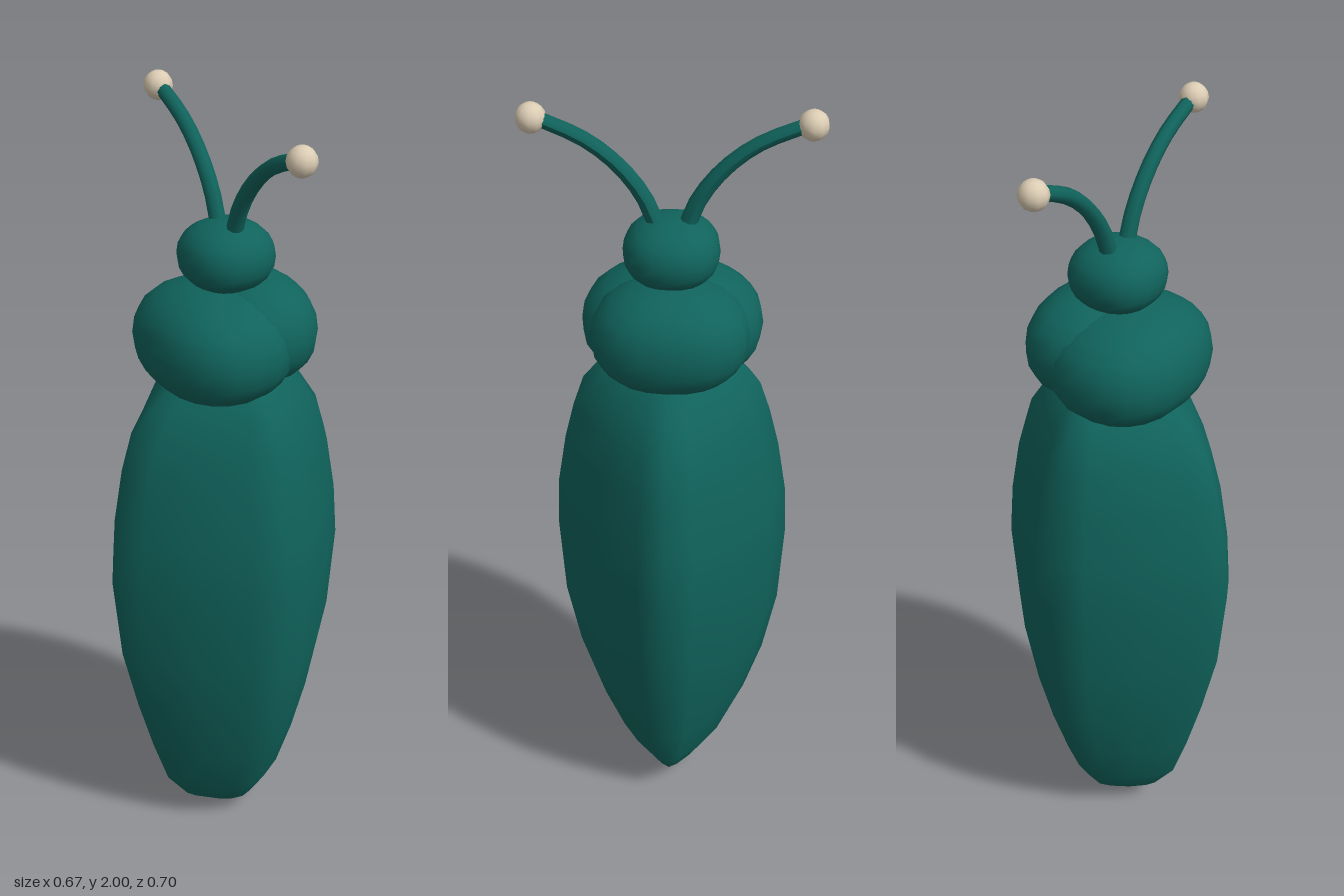
import * as THREE from 'three';

const shellMat = new THREE.MeshStandardMaterial({ color: 0x10635c });
shellMat.name = 'deepTeal';
const tipMat = new THREE.MeshStandardMaterial({ color: 0xdccdb4 });
tipMat.name = 'cream';

const spow = (v, e) => Math.sign(v) * Math.pow(Math.abs(v), e);

// Closed smooth loft through superelliptic rings [y, halfX, halfZ], with pole points at both ends
function loft(rings, yBottom, yTop, exponent, sides = 16) {
  const pos = [0, yBottom, 0], index = [];
  for (const [y, hx, hz] of rings) {
    for (let i = 0; i < sides; i++) {
      const a = (i / sides) * Math.PI * 2;
      pos.push(hx * spow(Math.cos(a), exponent), y, hz * spow(Math.sin(a), exponent));
    }
  }
  const top = pos.length / 3;
  pos.push(0, yTop, 0);
  const last = rings.length - 1;
  for (let i = 0; i < sides; i++) {
    const j = (i + 1) % sides;
    index.push(0, 1 + i, 1 + j);
    for (let r = 0; r < last; r++) {
      const a = 1 + r * sides + i, b = 1 + r * sides + j;
      index.push(a, a + sides, b, b, a + sides, b + sides);
    }
    index.push(1 + last * sides + i, top, 1 + last * sides + j);
  }
  const geo = new THREE.BufferGeometry();
  geo.setAttribute('position', new THREE.Float32BufferAttribute(pos, 3));
  geo.setIndex(index);
  geo.computeVertexNormals();
  return geo;
}

// Rounded lobe: slightly boxy ellipsoid
function lobe(rx, ry, rz, e = 0.9) {
  const rings = [];
  for (let k = 1; k < 12; k++) {
    const t = -Math.PI / 2 + (k / 12) * Math.PI;
    const c = Math.pow(Math.cos(t), e);
    rings.push([ry * spow(Math.sin(t), e), rx * c, rz * c]);
  }
  return loft(rings, -ry, ry, e, 20);
}

// Round tube with the cross-section narrowing a little along its length
function taperedTube(curve, segments, radius, endScale, sides) {
  const geo = new THREE.TubeGeometry(curve, segments, radius, sides);
  const p = geo.attributes.position, v = new THREE.Vector3();
  for (let i = 0; i < p.count; i++) {
    const t = Math.floor(i / (sides + 1)) / segments;
    const c = curve.getPointAt(t);
    v.fromBufferAttribute(p, i).sub(c).multiplyScalar(1 + (endScale - 1) * t).add(c);
    p.setXYZ(i, v.x, v.y, v.z);
  }
  geo.computeVertexNormals();
  return geo;
}

export function createModel() {
  const group = new THREE.Group();
  const add = (name, geo, mat, x = 0, y = 0, z = 0) => {
    const mesh = new THREE.Mesh(geo, mat);
    mesh.name = name;
    mesh.position.set(x, y, z);
    group.add(mesh);
    return mesh;
  };

  // Long abdomen with a diamond-shaped section
  add('abdomen', loft([
    [0.02, 0.06, 0.045], [0.06, 0.125, 0.09], [0.14, 0.185, 0.145],
    [0.27, 0.228, 0.2], [0.42, 0.27, 0.247], [0.6, 0.312, 0.282],
    [0.82, 0.333, 0.295], [0.96, 0.322, 0.29], [1.1, 0.297, 0.268],
    [1.2, 0.267, 0.244], [1.28, 0.215, 0.218], [1.34, 0.15, 0.17], [1.38, 0.08, 0.09],
  ], 0, 1.39, 1.5), shellMat);

  // Two overlapping thorax lobes
  add('thoraxRight', lobe(0.178, 0.142, 0.22), shellMat, -0.038, 1.43, 0);
  add('thoraxLeft', lobe(0.15, 0.135, 0.19), shellMat, 0.065, 1.45, 0);

  // Head
  add('head', lobe(0.115, 0.085, 0.115), shellMat, 0, 1.642, 0);

  // Antennae, one to the front and one to the back, with bead tips
  for (const s of [1, -1]) {
    const side = s > 0 ? 'front' : 'back';
    const path = new THREE.CatmullRomCurve3([
      [0.03, 1.69], [0.065, 1.78], [0.125, 1.86], [0.2, 1.92], [0.315, 1.972],
    ].map(([z, y]) => new THREE.Vector3(0, y, z * s)));
    add(side + 'Antenna', taperedTube(path, 10, 0.021, 0.85, 8), shellMat);
    add(side + 'AntennaTip', new THREE.SphereGeometry(0.036, 10, 8), tipMat, 0, 1.968, 0.317 * s);
  }
  return group;
}
